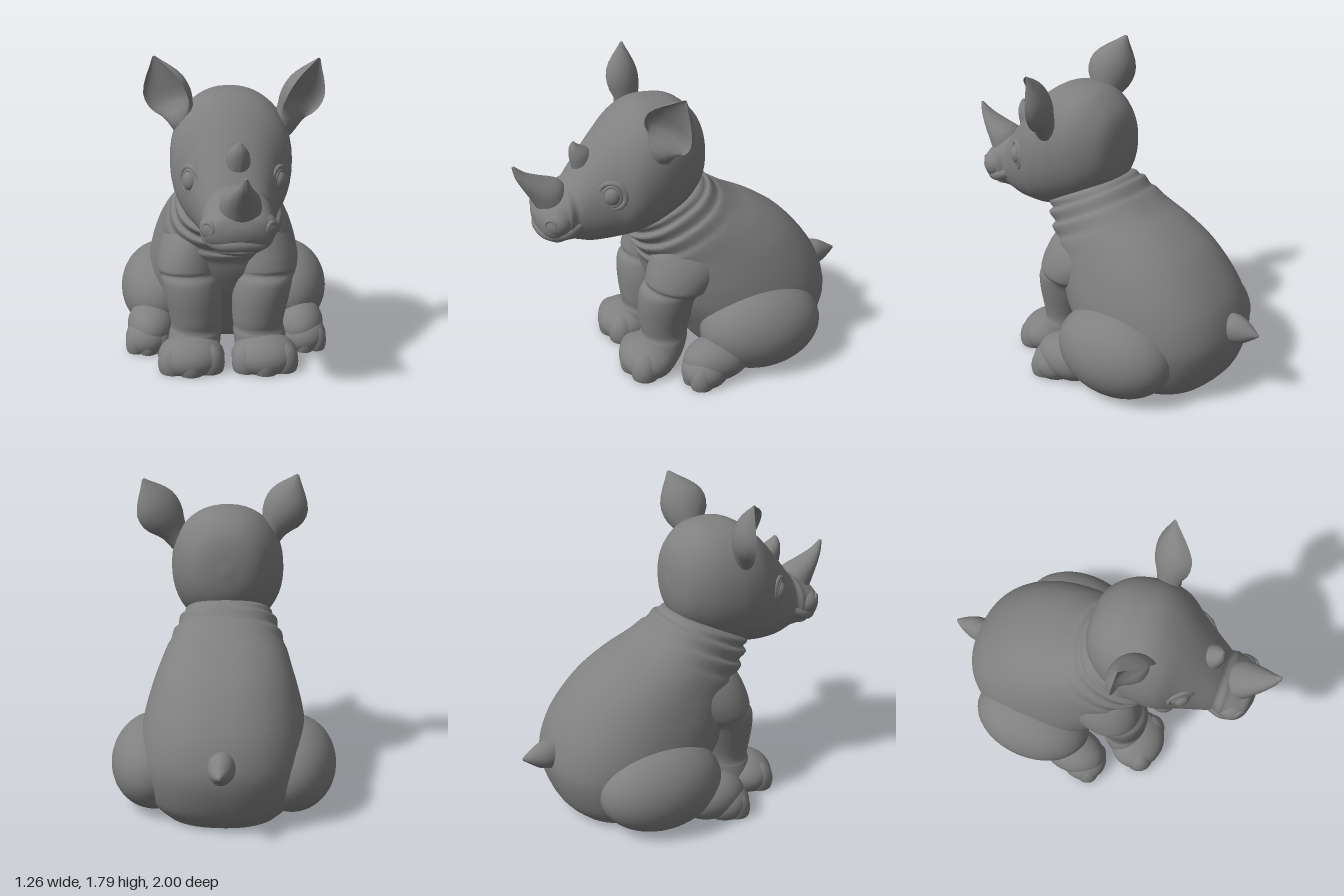
import * as THREE from 'three';
import { toCreasedNormals } from 'three/addons/utils/BufferGeometryUtils.js';

const skinGrey = new THREE.MeshStandardMaterial({ color: 0x808080 });
skinGrey.name = 'skinGrey';
const V = (x, y, z) => new THREE.Vector3(x, y, z);

function add(parent, name, geometry) {
  const mesh = new THREE.Mesh(geometry, skinGrey);
  mesh.name = name;
  parent.add(mesh);
  return mesh;
}

// Skin closed rings of points, cap both ends and wind the faces outwards
function skin(rings) {
  const n = rings[0].length, pts = rings.flat(), idx = [];
  const tri = (a, b, c) => idx.push(a, b, c);
  for (let i = 0; i < rings.length - 1; i++) {
    for (let j = 0; j < n; j++) {
      const a = i * n + j, b = i * n + (j + 1) % n;
      tri(a, b, b + n);
      tri(a, b + n, a + n);
    }
  }
  for (const [row, flip] of [[0, true], [rings.length - 1, false]]) {
    const mid = V(0, 0, 0);
    rings[row].forEach(p => mid.addScaledVector(p, 1 / n));
    const m = pts.push(mid) - 1;
    for (let j = 0; j < n; j++) {
      const a = row * n + j, b = row * n + (j + 1) % n;
      flip ? tri(b, a, m) : tri(a, b, m);
    }
  }
  let volume = 0;
  for (let i = 0; i < idx.length; i += 3) {
    volume += pts[idx[i]].dot(V(0, 0, 0).crossVectors(pts[idx[i + 1]], pts[idx[i + 2]]));
  }
  if (volume < 0) idx.reverse();
  const geo = new THREE.BufferGeometry().setFromPoints(pts);
  geo.setIndex(idx);
  return toCreasedNormals(geo, 0.75);
}

// Superelliptical loft; each row is [front z, front y, back z, back y, half width, centre x]
function loft(rows, power = 2, steps = 6, sides = 48) {
  const at = i => rows[Math.max(0, Math.min(rows.length - 1, i))];
  const round = v => Math.sign(v) * Math.abs(v) ** (2 / power);
  const rings = [];
  for (let k = 0; k <= (rows.length - 1) * steps; k++) {
    const i = Math.min(Math.floor(k / steps), rows.length - 2), t = k / steps - i;
    const [zf, yf, zb, yb, rx, x] = [0, 1, 2, 3, 4, 5].map(c => {
      const [p, q, r, s] = [-1, 0, 1, 2].map(d => at(i + d)[c] ?? 0);
      return q + 0.5 * t * (r - p + t * (2 * p - 5 * q + 4 * r - s + t * (3 * (q - r) + s - p)));
    });
    rings.push(Array.from({ length: sides }, (_, j) => {
      const a = (j + 0.5) / sides * Math.PI * 2, c = round(Math.cos(a)), s = round(Math.sin(a));
      return V(x + rx * c, (yf + yb) / 2 + (yf - yb) / 2 * s, (zf + zb) / 2 + (zf - zb) / 2 * s);
    }));
  }
  return skin(rings);
}

// Ellipsoid, flattened where it meets the ground
function blob(x, y, z, rx, ry, rz) {
  const geo = new THREE.SphereGeometry(1, 40, 28).scale(rx, ry, rz).translate(x, y, z);
  const p = geo.attributes.position;
  for (let i = 0; i < p.count; i++) p.setY(i, Math.max(0, p.getY(i)));
  return toCreasedNormals(geo, 0.75);
}

// Cupped, pointed ear opening forwards and outwards
function ear(s) {
  const base = V(s * 0.235 + 0.015, 1.4, 0.24), tip = V(s * 0.445 + 0.025, 1.775, 0.21);
  const up = tip.clone().sub(base).normalize();
  const open = V(s * 0.66, 0, 0.75);
  open.addScaledVector(up, -open.dot(up)).normalize();
  const side = V(0, 0, 0).crossVectors(up, open);
  const widths = [0.07, 0.075, 0.085, 0.105, 0.128, 0.14, 0.142, 0.134, 0.112, 0.08, 0.042, 0.008];
  return skin(widths.map((w, i) => {
    const t = i / (widths.length - 1), d = w * 0.95;
    const cup = THREE.MathUtils.lerp(0.8, -0.5, THREE.MathUtils.smoothstep(t, 0.1, 0.42));
    return Array.from({ length: 32 }, (_, j) => {
      const a = j / 32 * Math.PI * 2, h = Math.sin(a);
      return base.clone().lerp(tip, t).addScaledVector(side, w * Math.cos(a))
        .addScaledVector(open, (h > 0 ? cup * h : h) * d + d * 0.5);
    });
  }));
}

export function createModel() {
  const model = new THREE.Group();
  model.name = 'sittingCalf';

  // Torso leaning up into a softly folded neck
  add(model, 'torso', loft([
    [-0.1, 0, -0.7, 0, 0.32], [0.0, 0.08, -0.79, 0.1, 0.405], [0.09, 0.22, -0.85, 0.28, 0.45],
    [0.185, 0.37, -0.84, 0.42, 0.46], [0.24, 0.49, -0.77, 0.58, 0.44], [0.265, 0.56, -0.62, 0.76, 0.405],
    [0.28, 0.62, -0.45, 0.88, 0.37], [0.305, 0.665, -0.31, 0.95, 0.345], [0.3, 0.695, -0.25, 0.985, 0.325],
    [0.342, 0.745, -0.195, 1.02, 0.315], [0.33, 0.775, -0.165, 1.035, 0.29], [0.38, 0.815, -0.125, 1.08, 0.285],
    [0.365, 0.845, -0.1, 1.085, 0.258], [0.4, 0.88, -0.065, 1.105, 0.25], [0.36, 0.93, 0, 1.1, 0.2]], 2.3));

  add(model, 'tail', loft([
    [-0.78, 0.29, -0.78, 0.48, 0.075], [-0.86, 0.315, -0.86, 0.48, 0.072],
    [-0.91, 0.33, -0.91, 0.465, 0.058], [-0.96, 0.365, -0.96, 0.435, 0.034], [-1, 0.395, -1, 0.41, 0.006]
  ].map(r => [...r, -0.02])));

  for (const s of [1, -1]) {
    const name = s > 0 ? 'left' : 'right';

    // Front leg, creased at the elbow and ankle, running up into the shoulder
    add(model, name + 'FrontLeg', loft([
      [0.37, 0.01, 0.15, 0.01, 0.14, 0.2], [0.36, 0.09, 0.1, 0.09, 0.15, 0.195], [0.35, 0.17, 0.07, 0.17, 0.15, 0.185],
      [0.335, 0.21, 0.065, 0.21, 0.144, 0.18], [0.345, 0.27, 0.055, 0.27, 0.15, 0.18],
      [0.355, 0.4, 0.02, 0.4, 0.165, 0.195], [0.345, 0.5, 0.0, 0.47, 0.166, 0.21],
      [0.312, 0.545, -0.03, 0.49, 0.168, 0.216], [0.316, 0.575, -0.08, 0.52, 0.178, 0.222],
      [0.295, 0.66, -0.18, 0.62, 0.175, 0.212], [0.25, 0.76, -0.26, 0.71, 0.155, 0.185],
      [0.16, 0.86, -0.26, 0.82, 0.08, 0.16]
    ].map(r => [...r.slice(0, 5), s * r[5]])));
    add(model, name + 'FrontFoot', blob(s * 0.21, 0.07, 0.315, 0.19, 0.125, 0.165));

    // Haunch, shin and hind foot
    add(model, name + 'Haunch', blob(s * 0.38, 0.245, -0.325, 0.25, 0.26, 0.365));
    add(model, name + 'Shin', blob(s * 0.44, 0.12, -0.03, 0.145, 0.135, 0.2));
    add(model, name + 'HindFoot', blob(s * 0.46, 0.07, 0.05, 0.135, 0.115, 0.14));

    // Broad toes set into each foot
    for (const k of [-1, 0, 1]) {
      const out = Math.abs(k);
      add(model, name + 'FrontToe', blob(s * (0.21 + k * 0.105), 0.05, 0.395 - out * 0.03, 0.085, 0.11, 0.085));
      add(model, name + 'HindToe', blob(s * (0.46 + k * 0.07), 0.045, 0.115 - out * 0.02, 0.063, 0.1, 0.072));
    }
  }

  // Head, turned and tipped a little to its left
  const head = new THREE.Group(), face = new THREE.Group();
  head.name = 'head';
  face.name = 'face';
  head.position.set(0.01, 1.2, 0.2);
  head.rotation.set(0, 0.05, -0.03);
  face.position.set(0, -1.2, -0.2);
  head.add(face);
  model.add(head);

  add(face, 'skull', loft([
    [-0.083, 1.25, -0.083, 1.29, 0.02], [-0.065, 1.14, -0.065, 1.42, 0.125], [-0.02, 1.05, -0.02, 1.51, 0.205],
    [0.08, 0.96, 0.08, 1.59, 0.28], [0.2, 0.9, 0.2, 1.61, 0.32], [0.3, 0.865, 0.3, 1.6, 0.33],
    [0.4, 0.845, 0.4, 1.545, 0.315], [0.5, 0.83, 0.5, 1.455, 0.258], [0.6, 0.83, 0.6, 1.34, 0.212],
    [0.67, 0.85, 0.67, 1.25, 0.185], [0.7, 0.86, 0.7, 1.21, 0.175], [0.735, 0.868, 0.735, 1.19, 0.187],
    [0.76, 0.873, 0.76, 1.17, 0.183], [0.82, 0.885, 0.82, 1.13, 0.183], [0.87, 0.925, 0.87, 1.1, 0.145],
    [0.895, 0.98, 0.895, 1.05, 0.06]], 2.2));

  add(face, 'largeHorn', loft([
    [0.88, 1.07, 0.7, 1.15, 0.11], [0.91, 1.13, 0.74, 1.21, 0.1], [0.95, 1.2, 0.84, 1.25, 0.07],
    [0.985, 1.27, 0.925, 1.29, 0.036], [1, 1.335, 0.985, 1.34, 0.007]].map(r => [...r, 0.004])));
  add(face, 'smallHorn', loft([
    [0.67, 1.27, 0.55, 1.35, 0.064], [0.68, 1.33, 0.585, 1.38, 0.057],
    [0.68, 1.38, 0.63, 1.405, 0.034], [0.665, 1.42, 0.65, 1.425, 0.007]].map(r => [...r, 0.004])));

  // Lips and chin
  const lip = new THREE.CatmullRomCurve3([
    V(-0.145, 1.0, 0.68), V(-0.155, 0.965, 0.76), V(-0.105, 0.945, 0.835), V(0, 0.95, 0.865),
    V(0.105, 0.945, 0.835), V(0.155, 0.965, 0.76), V(0.145, 1.0, 0.68)]);
  add(face, 'upperLip', new THREE.TubeGeometry(lip, 48, 0.036, 14));
  add(face, 'lowerLip', blob(0, 0.905, 0.785, 0.125, 0.035, 0.075));

  for (const s of [1, -1]) {
    const name = s > 0 ? 'left' : 'right';
    add(face, name + 'Ear', ear(s));

    // Nostril set into a rounded lobe
    add(face, name + 'NoseLobe', blob(s * 0.112, 1.02, 0.79, 0.088, 0.08, 0.085));
    const nostril = add(face, name + 'Nostril', new THREE.TorusGeometry(0.03, 0.012, 12, 28));
    nostril.position.set(s * 0.157, 1.03, 0.845);
    nostril.rotation.y = s * 0.75;

    // Eye with a lid ring and a wider socket fold
    const eye = new THREE.Group();
    eye.name = name + 'Eye';
    eye.position.set(s * 0.237, 1.18, 0.525);
    eye.rotation.y = s * 0.95;
    face.add(eye);
    add(eye, 'eyeball', new THREE.SphereGeometry(1, 28, 20)).scale.set(0.045, 0.052, 0.032);
    add(eye, 'eyelid', new THREE.TorusGeometry(0.047, 0.01, 10, 32)).scale.y = 1.2;
    const socket = add(eye, 'socketFold', new THREE.TorusGeometry(0.074, 0.016, 10, 32));
    socket.position.z = -0.009;
  }
  return model;
}
